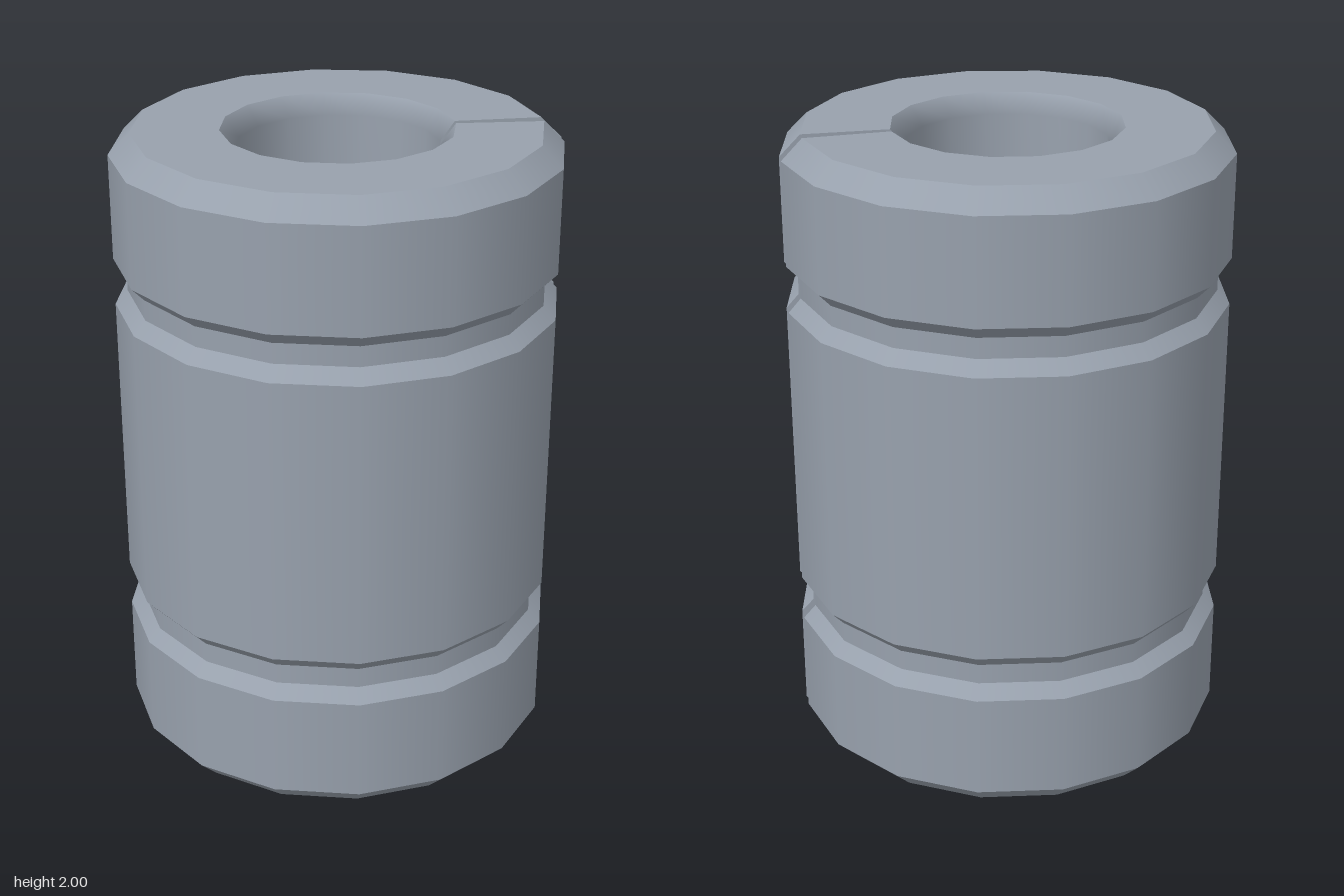
import * as THREE from 'three';
import { mergeGeometries } from 'three/addons/utils/BufferGeometryUtils.js';

const SIDES = 16;
const COLOR = 0x98a1ad; // blue-grey steel
const HALF_GAP = THREE.MathUtils.degToRad(1.85); // half the angle of the slit at +x
const R = 0.687, GROOVE_R = 0.648, END_R = 0.622;
const RIM_R = 0.355, BORE_R = 0.312, RIM_DEPTH = 0.06;

// Outer wall from bottom to top: end chamfers and two retaining grooves
const outer = [
  [END_R, 0], [R, 0.065],
  [R, 0.396], [GROOVE_R, 0.437], [GROOVE_R, 0.502], [R, 0.545],
  [R, 1.46], [GROOVE_R, 1.503], [GROOVE_R, 1.567], [R, 1.608],
  [R, 1.935], [END_R, 2],
];
// Bore from top to bottom, flared at both ends
const bore = [[RIM_R, 2], [BORE_R, 2 - RIM_DEPTH], [BORE_R, RIM_DEPTH], [RIM_R, 0]];

const toPoints = (list) => list.map(([r, y]) => new THREE.Vector2(r, y));

// Revolve a chain of points around y, leaving the slit open
function revolve(list) {
  const geometry = new THREE.LatheGeometry(toPoints(list), SIDES,
    Math.PI / 2 + HALF_GAP, Math.PI * 2 - 2 * HALF_GAP);
  geometry.normalizeNormals(); // unit normals give even shading along each band
  return geometry;
}

// Revolve each band on its own so the edges between bands stay sharp
function revolveSharp(list) {
  return mergeGeometries(list.slice(1).map((p, i) => revolve([list[i], p])));
}

export function createModel() {
  const group = new THREE.Group();
  group.name = 'splitSleeveBearing';
  const material = new THREE.MeshStandardMaterial({ color: COLOR });
  const wallMaterial = new THREE.MeshStandardMaterial({ color: COLOR, side: THREE.DoubleSide });

  const add = (name, geometry, mat = material) => {
    const mesh = new THREE.Mesh(geometry, mat);
    mesh.name = name;
    group.add(mesh);
    return mesh;
  };

  add('outerSleeve', revolveSharp(outer));
  add('bore', revolve(bore));
  add('topFace', revolve([[END_R, 2], [RIM_R, 2]]));
  add('bottomFace', revolve([[RIM_R, 0], [END_R, 0]]));

  // Flat walls on both sides of the slit, cut from the full section
  const section = new THREE.ShapeGeometry(new THREE.Shape(toPoints([...outer, ...bore])));
  for (const [name, side] of [['slitWallBack', 1], ['slitWallFront', -1]]) {
    add(name, section, wallMaterial).rotation.y = side * HALF_GAP;
  }
  return group;
}
